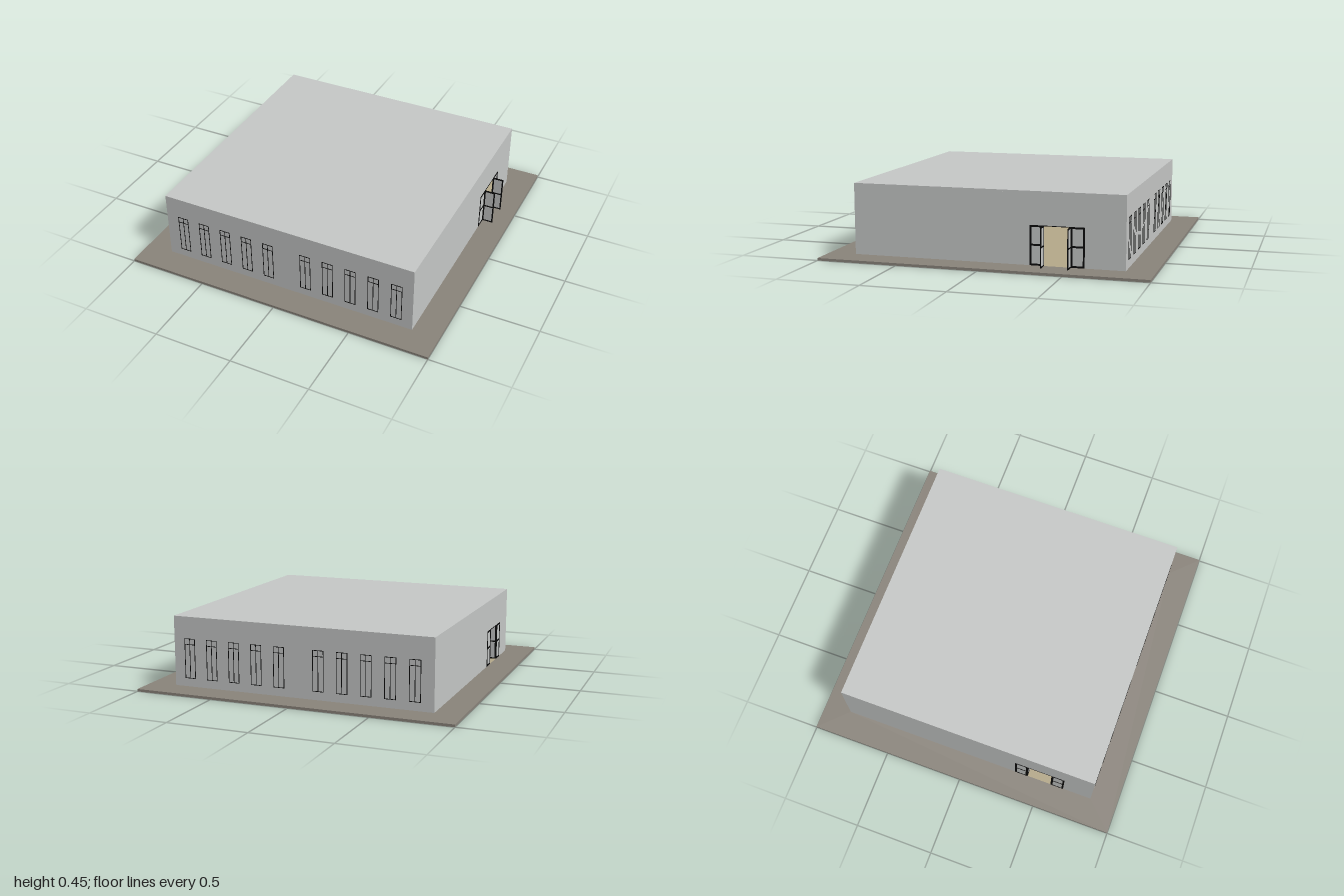
import * as THREE from 'three';

const flat = (name, color) => {
  const m = new THREE.MeshStandardMaterial({ color });
  m.name = name;
  return m;
};

export function createModel() {
  const model = new THREE.Group();
  model.name = 'hall';
  const grey = flat('paleGrey', 0xc6c8c7);
  const paving = flat('pavingBrown', 0x8a847b);
  const tan = flat('floorTan', 0xb5a98a);
  const black = flat('frameBlack', 0x0a0a0a);

  // Box given by its limits on each axis
  const box = (parent, name, mat, [x0, x1], [y0, y1], [z0, z1]) => {
    const mesh = new THREE.Mesh(new THREE.BoxGeometry(x1 - x0, y1 - y0, z1 - z0), mat);
    mesh.position.set((x0 + x1) / 2, (y0 + y1) / 2, (z0 + z1) / 2);
    mesh.name = name;
    parent.add(mesh);
    return mesh;
  };
  const group = (name, parent = model) => {
    const g = new THREE.Group();
    g.name = name;
    parent.add(g);
    return g;
  };

  const W = 0.83, T = 0.01, BASE = 0.015, TOP = 0.45, HEAD = 0.252;

  // Paving ring around the floor slab
  const ring = new THREE.Shape([[-1, -1], [1, -1], [1, 1], [-1, 1]].map(p => new THREE.Vector2(...p)));
  ring.holes.push(new THREE.Path([[-W, -W], [-W, W], [W, W], [W, -W]].map(p => new THREE.Vector2(...p))));
  const pavement = new THREE.Mesh(new THREE.ExtrudeGeometry(ring, { depth: BASE, bevelEnabled: false }), paving);
  pavement.rotation.x = -Math.PI / 2;
  pavement.name = 'pavement';
  model.add(pavement);
  box(model, 'floor', tan, [-W, W], [0, BASE], [-W, W]);

  // Roof, front and back walls
  box(model, 'roof', grey, [-W, W], [TOP - T, TOP], [-W, W]);
  box(model, 'frontWall', grey, [-W, W], [BASE, TOP - T], [W - T, W]);
  box(model, 'backWall', grey, [-W, W], [BASE, TOP - T], [-W, T - W]);

  // Rectangular frame with a middle rail and a thin pane, built in the (u, y) plane
  const panel = (parent, name, u0, u1, bar, depth) => {
    const g = group(name, parent);
    const y0 = BASE, y1 = HEAD, d = [-depth / 2, depth / 2];
    for (const u of [u0, u1 - bar]) box(g, 'stile', black, [u, u + bar], [y0, y1], d);
    for (const y of [y0, 0.131, y1 - bar]) box(g, 'rail', black, [u0 + bar, u1 - bar], [y, y + bar], d);
    box(g, 'pane', grey, [u0 + bar, u1 - bar], [y0 + bar, y1 - bar], [-0.001, 0.001]);
    return g;
  };

  // Side wall with an opening, two fixed panels and two open leaves swung toward +x
  const sideWall = (name, x0, doorX, zc) => {
    const g = group(name);
    const half = 0.163, gap = 0.08, x = [x0, x0 + T];
    box(g, 'wall', grey, x, [BASE, TOP - T], [T - W, zc - half]);
    box(g, 'wall', grey, x, [BASE, TOP - T], [zc + half, W - T]);
    box(g, 'lintel', grey, x, [HEAD, TOP - T], [zc - half, zc + half]);
    box(g, 'doorHead', black, [doorX - 0.003, doorX + 0.003], [HEAD - 0.004, HEAD], [zc - gap, zc + gap]);
    for (const s of [-1, 1]) {
      const fixed = panel(g, 'fixedPanel', gap, half, 0.011, 0.006);
      fixed.rotation.y = -s * Math.PI / 2;
      fixed.position.set(doorX, 0, zc);
      const leaf = panel(g, 'doorLeaf', 0, 0.07, 0.008, 0.006);
      leaf.position.set(doorX, 0, zc + s * gap);
    }
  };
  sideWall('leftWall', W - T, W - 0.001, -0.428);
  sideWall('rightWall', -W, 0.001 - W, 0.482);

  // Window frames: two groups of five on the front and back
  const bar = 0.0036, width = 0.067, low = 0.066, high = 0.315;
  for (const side of [-1, 1]) {
    const row = group(side > 0 ? 'frontWindows' : 'backWindows');
    const z = side > 0 ? [W - 0.001, W + 0.002] : [-W - 0.002, 0.001 - W];
    for (const start of [-0.748, 0.098]) {
      for (let i = 0; i < 5; i++) {
        const win = group('windowFrame', row);
        const x = start + i * 0.1485;
        for (const u of [0, width / 2, width]) {
          box(win, 'mullion', black, [x + u - bar / 2, x + u + bar / 2], [low, high], z);
        }
        for (const y of [low, 0.276, high - bar]) {
          box(win, 'crossbar', black, [x, x + width], [y, y + bar], z);
        }
      }
    }
  }
  return model;
}
